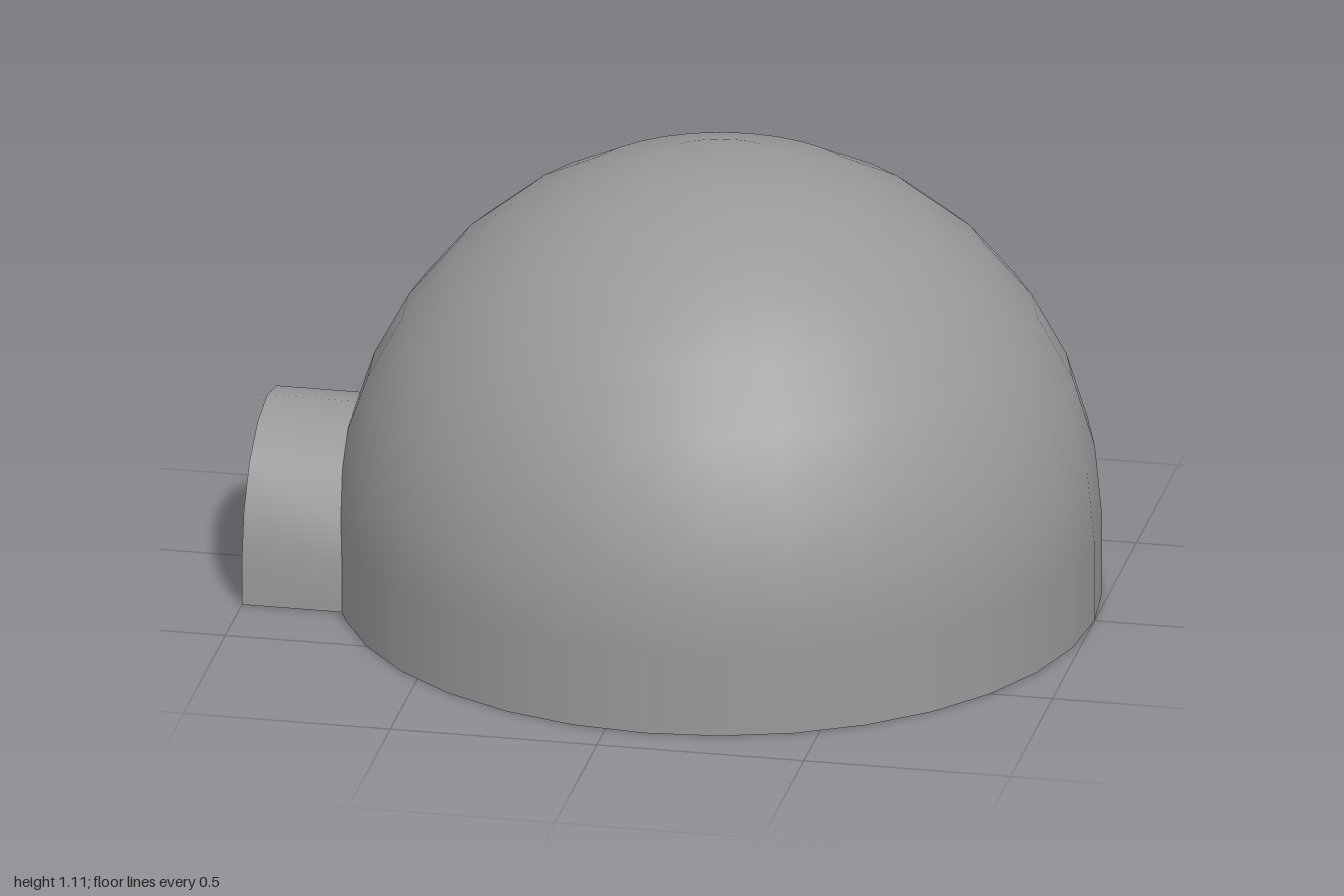
import * as THREE from 'three';

const CX = 0.095, R = 0.905, WALL = 0.2; // dome centre, radius, height of upright wall
const COLS = 32, ROWS = 9;
const FRONT = -1, POCKET_END = 0.44;     // ends of the entrance passage
const SPRING = 0.115;                    // height where the arch begins to curve
const material = new THREE.MeshStandardMaterial({ color: 0x999999, side: THREE.DoubleSide });

function makeMesh(name, points, index) {
  const g = new THREE.BufferGeometry().setFromPoints(points);
  g.setIndex(index);
  g.computeVertexNormals();
  const mesh = new THREE.Mesh(g, material);
  mesh.name = name;
  return mesh;
}

// Index of a strip joining two rows of vertex numbers
function stripIndex(a, b) {
  const index = [];
  for (let i = 0; i < a.length - 1; i++) {
    index.push(a[i], b[i], a[i + 1], b[i], b[i + 1], a[i + 1]);
  }
  return index;
}

function skin(name, a, b) {
  const ids = a.map((_, i) => i);
  return makeMesh(name, [...a, ...b], stripIndex(ids, ids.map(i => i + a.length)));
}

// Arch outline: upright legs with a half circle above, xAt gives x for each (y, z)
function arch(r, xAt) {
  const yz = [[0, r]];
  for (let i = 0; i <= 8; i++) {
    const t = i * Math.PI / 8;
    yz.push([SPRING + r * Math.sin(t), r * Math.cos(t)]);
  }
  yz.push([0, -r]);
  return yz.map(([y, z]) => new THREE.Vector3(xAt(y, z), y, z));
}

// x of the dome surface on the entrance side
function domeX(y, z) {
  const h = Math.max(0, y - WALL);
  return CX - Math.sqrt(R * R - h * h - z * z);
}

// Open-bottomed dome with an arched hole where the passage meets it
function makeDome(hole) {
  const points = [], index = [];
  for (let r = 0; r < ROWS; r++) {
    const lat = Math.max(0, r - 1) * Math.PI / 16;
    const y = r === 0 ? 0 : WALL + R * Math.sin(lat);
    for (let j = 0; j < COLS; j++) {
      const a = j * 2 * Math.PI / COLS, rad = R * Math.cos(lat);
      points.push(new THREE.Vector3(CX + rad * Math.cos(a), y, rad * Math.sin(a)));
    }
  }
  const pole = points.length;
  points.push(new THREE.Vector3(CX, WALL + R, 0));
  const id = (r, j) => r === ROWS ? pole : r * COLS + j % COLS;
  for (let r = 0; r < ROWS; r++) {
    for (let j = 0; j < COLS; j++) {
      if (r < 3 && j >= 14 && j < 18) continue;
      index.push(id(r, j), id(r + 1, j), id(r, j + 1));
      if (r < ROWS - 1) index.push(id(r + 1, j), id(r + 1, j + 1), id(r, j + 1));
    }
  }
  // Fill between the arched hole and the surrounding grid
  const rim = [];
  for (let r = 0; r < 3; r++) rim.push(id(r, 14));
  for (let j = 14; j <= 18; j++) rim.push(id(3, j));
  for (let r = 2; r >= 0; r--) rim.push(id(r, 18));
  const holeIds = hole.map((_, i) => points.length + i);
  points.push(...hole);
  index.push(...stripIndex(holeIds, rim));

  // Normals straight out from the dome centre keep the shading even around the hole
  const dome = makeMesh('dome', points, index);
  points.forEach((p, i) => {
    const n = new THREE.Vector3(p.x - CX, Math.max(0, p.y - WALL), p.z).normalize();
    dome.geometry.attributes.normal.setXYZ(i, n.x, n.y, n.z);
  });
  return dome;
}

export function createModel() {
  const group = new THREE.Group();
  group.name = 'domeShelter';

  const hole = arch(0.302, domeX);
  const outerFront = arch(0.302, () => FRONT);
  const innerFront = arch(0.18, () => FRONT);
  const innerBack = arch(0.18, () => POCKET_END);

  group.add(makeDome(hole));

  // Entrance passage: outside, front ring and inner lining reaching into the dome
  const entrance = new THREE.Group();
  entrance.name = 'entrance';
  entrance.add(
    skin('entranceOutside', outerFront, hole),
    skin('entranceFrontRing', innerFront, outerFront),
    skin('passageLining', innerBack, innerFront)
  );

  // Closed inner end of the passage
  const endShape = new THREE.Shape(innerBack.map(p => new THREE.Vector2(p.z, p.y)));
  const end = new THREE.Mesh(new THREE.ShapeGeometry(endShape), material);
  end.name = 'passageEnd';
  end.rotation.y = -Math.PI / 2;
  end.position.x = POCKET_END;
  entrance.add(end);

  group.add(entrance);
  return group;
}
